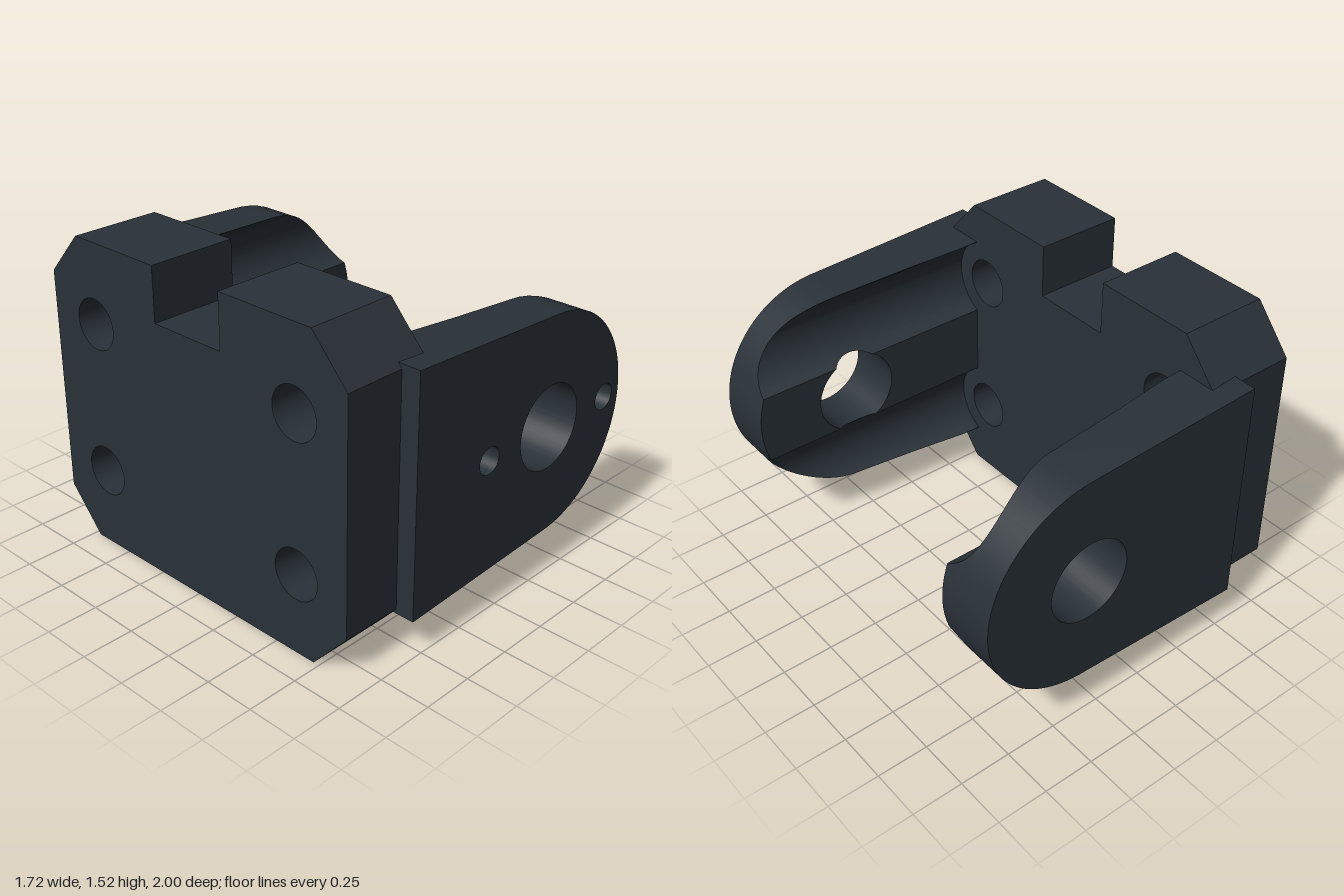
import * as THREE from 'three';
import { mergeGeometries, toCreasedNormals } from 'three/addons/utils/BufferGeometryUtils.js';

const MID = 0.76;                  // height of the pin axis
const OUT = 1, IN = 0.705;         // outer and inner z of an arm
const LEFT = -0.56, PIN = 0.325;   // arm root and pin axis in x
const R_END = 0.532, R_PIN = 0.205;
const TAN = 0.5315, ROOT = 0.574;  // half heights at the rounded end and the root
const BOLT_Y = 0.37, BOLT_Z = 0.622, R_BOLT = 0.122, R_GROOVE = 0.21;

const chord = (r, d) => Math.sqrt(Math.max(0, r * r - d * d));

// Right-hand limit of the arm outline at height d from the pin axis
function edgeX(d) {
  d = Math.abs(d);
  if (d <= TAN) return PIN + chord(R_END, d);
  return THREE.MathUtils.lerp(PIN + chord(R_END, TAN), LEFT, (d - TAN) / (ROOT - TAN));
}

// Inner surface of the arm, hollowed by two grooves in line with the bolts
function innerZ(d) {
  const e = Math.abs(d) - BOLT_Y;
  return Math.abs(e) < R_GROOVE ? Math.max(IN, BOLT_Z + chord(R_GROOVE, e)) : IN;
}

// Heights at which the arm is divided, dense where its curves bend
function makeLevels() {
  const half = new Set([TAN, ROOT]);
  const add = (v) => half.add(Number(v.toFixed(4)));
  const a0 = Math.acos((IN - BOLT_Z) / R_GROOVE);
  for (let i = 0; i <= 16; i++) {
    const a = (i / 16) * Math.PI / 2;
    add(R_PIN * Math.sin(a));
    add(Math.min(TAN, R_END * Math.sin(a)));
    add(BOLT_Y + R_GROOVE * Math.sin(a0 * (i / 8 - 1)));
  }
  const up = [...half].sort((a, b) => a - b);
  return [...up.slice(1).reverse().map((v) => -v), ...up];
}

function trianglesToGeometry(pos) {
  const g = new THREE.BufferGeometry();
  g.setAttribute('position', new THREE.Float32BufferAttribute(pos, 3));
  return g;
}

function quad(pos, a, b, c, d) {
  for (const t of [[a, b, c], [a, c, d]]) {
    if (new THREE.Triangle(...t).getArea() > 1e-8) t.forEach((p) => pos.push(p.x, p.y, p.z));
  }
}

const V = (x, y, z) => new THREE.Vector3(x, y, z);

// Wall round a closed loop, from the outer face in to depth(d)
function wall(loop, depth) {
  const pos = [];
  loop.forEach((p, i) => {
    const q = loop[(i + 1) % loop.length];
    quad(pos, V(p.x, p.y, OUT), V(p.x, p.y, depth(p.y)), V(q.x, q.y, depth(q.y)), V(q.x, q.y, OUT));
  });
  return trianglesToGeometry(pos);
}

function circleLoop(x, r) {
  return Array.from({ length: 32 }, (_, i) => {
    const a = -(i / 32) * Math.PI * 2;
    return new THREE.Vector2(x + r * Math.cos(a), r * Math.sin(a));
  });
}

function armGeometry(blindHoles) {
  const levels = makeLevels();
  const P = (x, y) => new THREE.Vector2(x, y);
  const outline = [
    ...levels.map((d) => P(edgeX(d), d)),
    ...levels.slice(1, -1).reverse().map((d) => P(LEFT, d)),
  ];
  const inHole = levels.filter((d) => Math.abs(d) <= R_PIN);
  const pinLoop = [
    ...inHole.map((d) => P(PIN - chord(R_PIN, d), d)),
    ...inHole.slice(1, -1).reverse().map((d) => P(PIN + chord(R_PIN, d), d)),
  ];

  // Grooved inner face, strip by strip
  const pos = [];
  for (let i = 0; i < levels.length - 1; i++) {
    const a = levels[i], b = levels[i + 1];
    const strip = (left, right) => quad(pos,
      V(left(a), a, innerZ(a)), V(left(b), b, innerZ(b)),
      V(right(b), b, innerZ(b)), V(right(a), a, innerZ(a)));
    if (Math.max(Math.abs(a), Math.abs(b)) <= R_PIN) {
      strip(() => LEFT, (d) => PIN - chord(R_PIN, d));
      strip((d) => PIN + chord(R_PIN, d), edgeX);
    } else {
      strip(() => LEFT, edgeX);
    }
  }
  const parts = [trianglesToGeometry(pos), wall(outline, innerZ), wall(pinLoop, innerZ)];

  // Flat outer face with the pin hole and any blind holes
  const face = new THREE.Shape(outline);
  face.holes.push(new THREE.Path(pinLoop));
  for (const x of blindHoles) {
    const loop = circleLoop(x, 0.065);
    const floor = OUT - 0.13;
    face.holes.push(new THREE.Path(loop));
    parts.push(wall(loop, () => floor));
    parts.push(new THREE.CircleGeometry(0.065, 32).translate(x, 0, floor));
  }
  parts.push(new THREE.ShapeGeometry(face).translate(0, 0, OUT));

  const bare = parts.map((g) => {
    const n = g.index ? g.toNonIndexed() : g;
    n.deleteAttribute('normal');
    n.deleteAttribute('uv');
    return n;
  });
  return toCreasedNormals(mergeGeometries(bare), 0.5);
}

// Chamfered plate with a top notch and four bolt holes
function plateGeometry() {
  const half = [[0.203, 1.26], [0.203, 1.52], [0.72, 1.52], [0.908, 1.312], [0.908, 0.208], [0.72, 0]];
  const mirrored = half.map(([u, y]) => [-u, y]).reverse();
  // The outline runs clockwise, so the holes run the other way
  const shape = new THREE.Shape([...half, ...mirrored].map(([u, y]) => new THREE.Vector2(u, y)));
  for (const u of [-BOLT_Z, BOLT_Z]) {
    for (const y of [MID - BOLT_Y, MID + BOLT_Y]) {
      shape.holes.push(new THREE.Path().absarc(u, y, R_BOLT, 0, Math.PI * 2, false));
    }
  }
  const g = new THREE.ExtrudeGeometry(shape, { depth: 0.442, bevelEnabled: false, curveSegments: 32 });
  g.rotateY(Math.PI / 2).translate(-0.86, 0, 0);
  return toCreasedNormals(g, 0.5);
}

export function createModel() {
  const group = new THREE.Group();
  group.name = 'clevisBracket';
  const steel = new THREE.MeshStandardMaterial({ color: 0x293138 });
  steel.name = 'darkSteel';

  const add = (name, geometry) => {
    const mesh = new THREE.Mesh(geometry, steel);
    mesh.name = name;
    group.add(mesh);
  };
  add('mountingPlate', plateGeometry());
  add('frontArm', armGeometry([-0.095, 0.742]).translate(0, MID, 0));
  // Symmetric in height, so half a turn about x gives the opposite arm
  add('backArm', armGeometry([]).rotateX(Math.PI).translate(0, MID, 0));
  return group;
}
